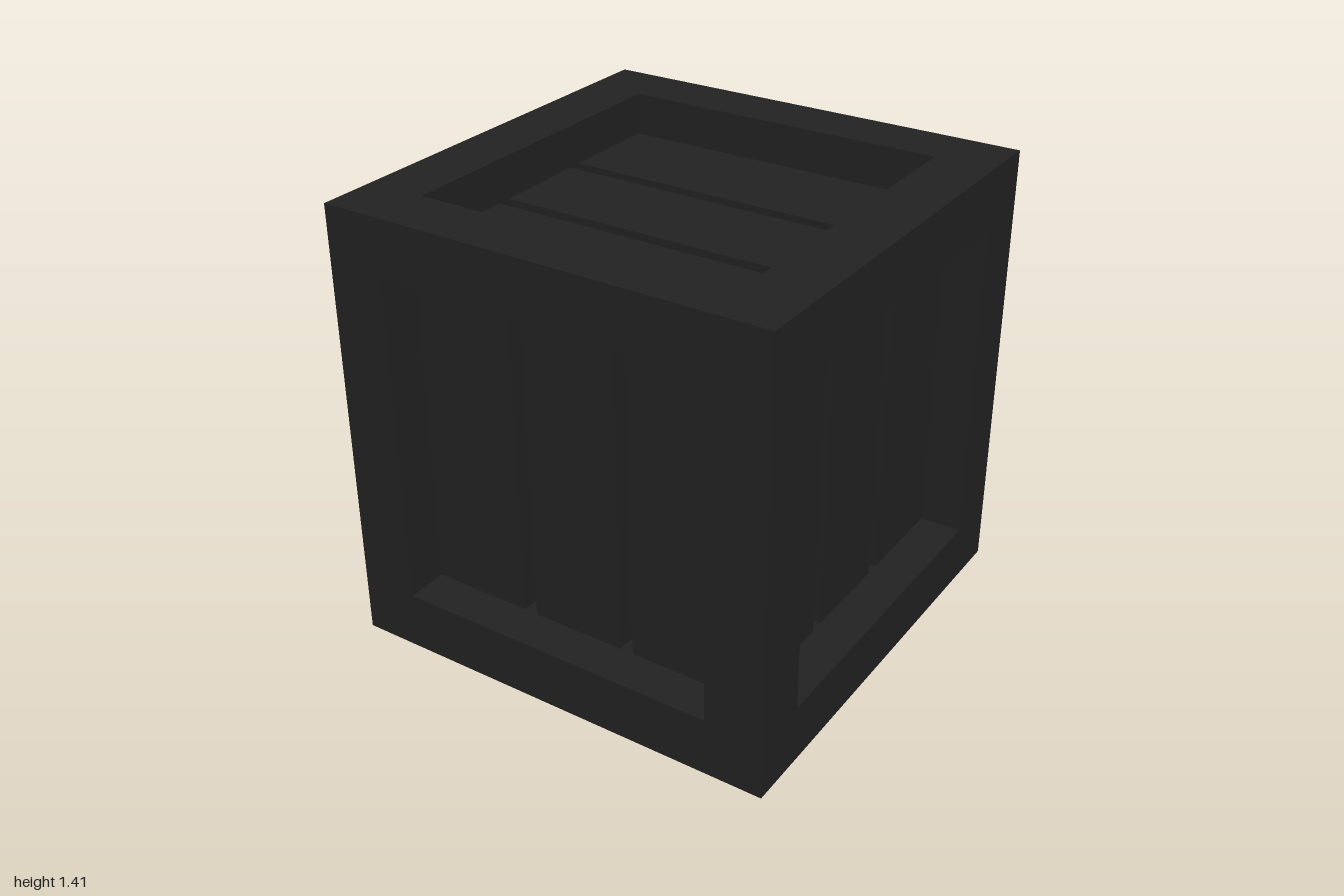
import * as THREE from 'three';

const SIDE = 1.414;            // outer cube edge
const BEAM = 0.185;            // frame beam thickness
const OPEN = SIDE - 2 * BEAM;  // frame opening
const RECESS = 0.133;          // plank face below frame face
const PLANK = 0.05;            // plank thickness, also groove depth

export function createModel() {
  const material = new THREE.MeshStandardMaterial({ color: 0x222222 });
  const model = new THREE.Group();
  model.name = 'crate';

  const addBox = (parent, name, size, pos) => {
    const mesh = new THREE.Mesh(new THREE.BoxGeometry(...size), material);
    mesh.name = name;
    mesh.position.set(...pos);
    parent.add(mesh);
  };

  const crate = new THREE.Group();
  crate.name = 'crateBody';
  crate.position.y = SIDE / 2;
  crate.rotation.y = THREE.MathUtils.degToRad(46.05);
  model.add(crate);

  // Frame: four full-height posts and eight rails between them
  const e = (SIDE - BEAM) / 2;
  for (const a of [-e, e]) {
    for (const b of [-e, e]) {
      addBox(crate, 'cornerPost', [BEAM, SIDE, BEAM], [a, 0, b]);
      addBox(crate, 'railAcross', [OPEN, BEAM, BEAM], [0, a, b]);
      addBox(crate, 'railDeep', [BEAM, BEAM, OPEN], [a, b, 0]);
    }
  }

  // Inner core, seen at the bottom of the grooves
  const core = SIDE - 2 * (RECESS + PLANK);
  addBox(crate, 'core', [core, core, core], [0, 0, 0]);

  // Three recessed planks per face: [width, centre offset]
  const planks = [[0.326, -0.359], [0.304, 0], [0.326, 0.359]];
  const addPanel = (name, rx, ry) => {
    const panel = new THREE.Group();
    panel.name = name;
    panel.rotation.set(rx, ry, 0);
    for (const [w, x] of planks) {
      addBox(panel, 'plank', [w, OPEN, PLANK], [x, 0, (core + PLANK) / 2]);
    }
    crate.add(panel);
  };
  for (let i = 0; i < 4; i++) addPanel('sidePanel', 0, (i * Math.PI) / 2);
  addPanel('topPanel', -Math.PI / 2, 0);
  addPanel('bottomPanel', Math.PI / 2, 0);

  return model;
}
